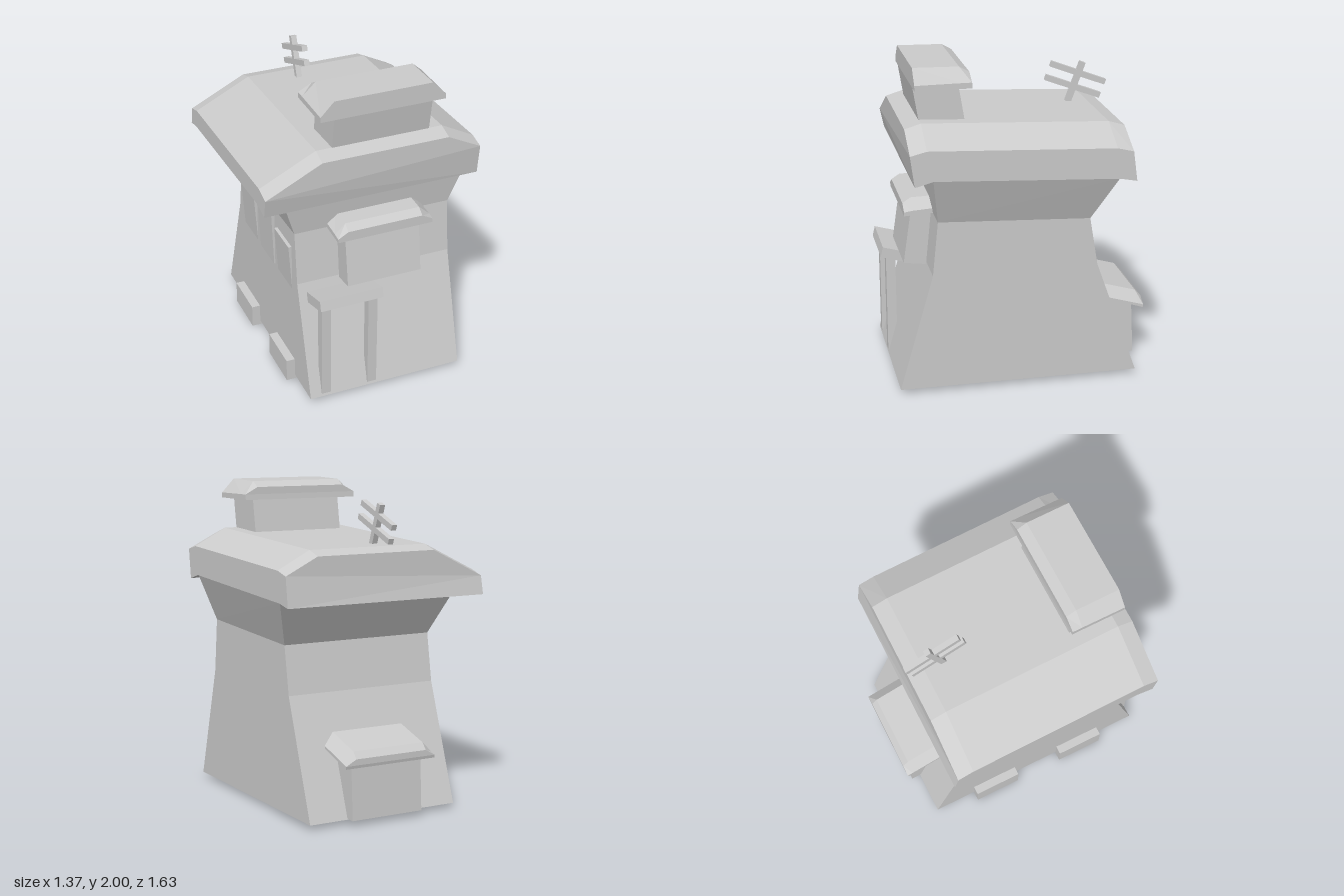
import * as THREE from 'three';

const material = new THREE.MeshStandardMaterial({ color: 0xcccccc, flatShading: true });

// Capped solid through rings of points (counter-clockwise seen from the last ring's end)
function loft(rings) {
  const pos = [];
  const tri = (...p) => p.forEach((v) => pos.push(...v));
  const n = rings[0].length;
  for (let r = 0; r < rings.length - 1; r++) {
    const a = rings[r], b = rings[r + 1];
    for (let i = 0; i < n; i++) {
      const j = (i + 1) % n;
      tri(a[i], a[j], b[j]);
      tri(a[i], b[j], b[i]);
    }
  }
  const first = rings[0], last = rings[rings.length - 1];
  for (let i = 1; i < n - 1; i++) {
    tri(first[0], first[i + 1], first[i]);
    tri(last[0], last[i], last[i + 1]);
  }
  const g = new THREE.BufferGeometry();
  g.setAttribute('position', new THREE.Float32BufferAttribute(pos, 3));
  g.computeVertexNormals();
  return g;
}

// Level of a leaning block: x range, then front and back corners as [z, y]
const level = (l, r, [zf, yf], [zb, yb]) => [[l, yf, zf], [r, yf, zf], [r, yb, zb], [l, yb, zb]];

// Roof with sloped sides; stations run from back to front as
// [z, zBottom, yBottom, yEdgeLeft, yEdgeRight, yTop]
function hood([l, r], [tl, tr], stations) {
  return loft(stations.map(([z, zb, b, el, er, t]) => [
    [l, el, z], [l, b, zb], [r, b, zb], [r, er, z], [tr, t, z], [tl, t, z],
  ]));
}

export function createModel() {
  const model = new THREE.Group();
  const add = (name, geometry, parent = model) => {
    const mesh = new THREE.Mesh(geometry, material);
    mesh.name = name;
    parent.add(mesh);
    return mesh;
  };
  const box = (name, size, at, parent) => {
    const mesh = add(name, new THREE.BoxGeometry(...size), parent);
    mesh.position.set(...at);
    return mesh;
  };
  const group = (name) => {
    const g = new THREE.Group();
    g.name = name;
    model.add(g);
    return g;
  };

  // Waisted tower body, flaring out under the roof
  add('body', loft([
    level(-0.445, 0.57, [0.78, 0.03], [-0.71, 0.03]),
    level(-0.445, 0.57, [0.57, 0.76], [-0.45, 0.76]),
    level(-0.445, 0.57, [0.535, 1.1], [-0.4, 1.06]),
    level(-0.54, 0.678, [0.575, 1.392], [-0.55, 1.337]),
  ]));

  // Main roof, overhanging on three sides
  add('mainRoof', hood([-0.687, 0.682], [-0.335, 0.47], [
    [-0.63, -0.655, 1.315, 1.43, 1.5, 1.605],
    [-0.53, -0.55, 1.335, 1.46, 1.525, 1.635],
    [0.61, 0.575, 1.39, 1.51, 1.575, 1.685],
    [0.71, 0.685, 1.36, 1.48, 1.55, 1.655],
  ]));

  // Small rooftop turret
  const turret = group('turret');
  add('turretBase', loft([
    level(-0.235, 0.385, [0.605, 1.64], [0.33, 1.64]),
    level(-0.235, 0.385, [0.645, 1.885], [0.37, 1.885]),
  ]), turret);
  add('turretRoof', hood([-0.32, 0.47], [-0.235, 0.385], [
    [0.303, 0.3, 1.88, 1.915, 1.915, 1.96],
    [0.365, 0.365, 1.88, 1.915, 1.915, 1.995],
    [0.645, 0.645, 1.88, 1.912, 1.912, 2],
  ]), turret);

  // Front bay window box with its hood
  const bay = group('frontBay');
  add('bayBox', loft([
    level(-0.17, 0.315, [0.71, 0.762], [0.5, 0.735]),
    level(-0.17, 0.315, [0.66, 1.1], [0.5, 1.1]),
  ]), bay);
  add('bayRoof', hood([-0.235, 0.385], [-0.17, 0.315], [
    [0.5, 0.5, 1.1, 1.13, 1.13, 1.188],
    [0.66, 0.66, 1.091, 1.12, 1.12, 1.183],
    [0.71, 0.71, 1.088, 1.112, 1.112, 1.15],
  ]), bay);

  // Rear annex with its hood
  const annex = group('rearAnnex');
  add('annexBox', loft([
    level(-0.17, 0.315, [-0.6, 0.04], [-0.77, 0.035]),
    level(-0.17, 0.315, [-0.5, 0.44], [-0.752, 0.385]),
  ]), annex);
  add('annexRoof', hood([-0.235, 0.385], [-0.17, 0.315], [
    [-0.812, -0.808, 0.365, 0.383, 0.383, 0.42],
    [-0.775, -0.765, 0.38, 0.395, 0.395, 0.46],
    [-0.5, -0.5, 0.46, 0.475, 0.475, 0.54],
  ]), annex);

  // Porch: tilted slab on two posts
  const porch = group('porch');
  add('porchSlab', loft([
    level(-0.39, 0.02, [0.8, 0.695], [0.5, 0.605]),
    level(-0.39, 0.02, [0.815, 0.7], [0.56, 0.625]),
    level(-0.39, 0.02, [0.8, 0.763], [0.545, 0.69]),
  ]), porch);
  for (const x of [-0.34, -0.033]) box('porchPost', [0.06, 0.65, 0.06], [x, 0.375, 0.75], porch);

  // Roof antenna: leaning mast with two crossbars
  const antenna = group('antenna');
  const mast = box('mast', [0.036, 0.32, 0.036], [-0.04, 1.735, -0.441], antenna);
  mast.rotation.x = -0.36;
  for (const [y, z] of [[1.817, -0.468], [1.732, -0.435]]) {
    box('crossbar', [0.036, 0.036, 0.375], [-0.04, y, z], antenna).rotation.x = -0.36;
  }

  // Shutters on the side wall: [z centre, top, bottom, bottom x]
  for (const [z, top, bottom, xb] of [[-0.235, 0.98, 0.6, -0.44], [0.075, 1.05, 0.68, -0.452], [0.365, 0.98, 0.6, -0.44]]) {
    const w = 0.12;
    add('sideShutter', loft([
      [[xb, bottom, z + w], [-0.42, bottom, z + w], [-0.42, bottom, z - w], [xb, bottom, z - w]],
      [[-0.466, top, z + w], [-0.42, top, z + w], [-0.42, top, z - w], [-0.466, top, z - w]],
    ]));
  }

  // Foot blocks along the same wall
  for (const z of [0.355, -0.275]) box('footBlock', [0.11, 0.15, 0.31], [-0.445, 0.075, z]);

  return model;
}
